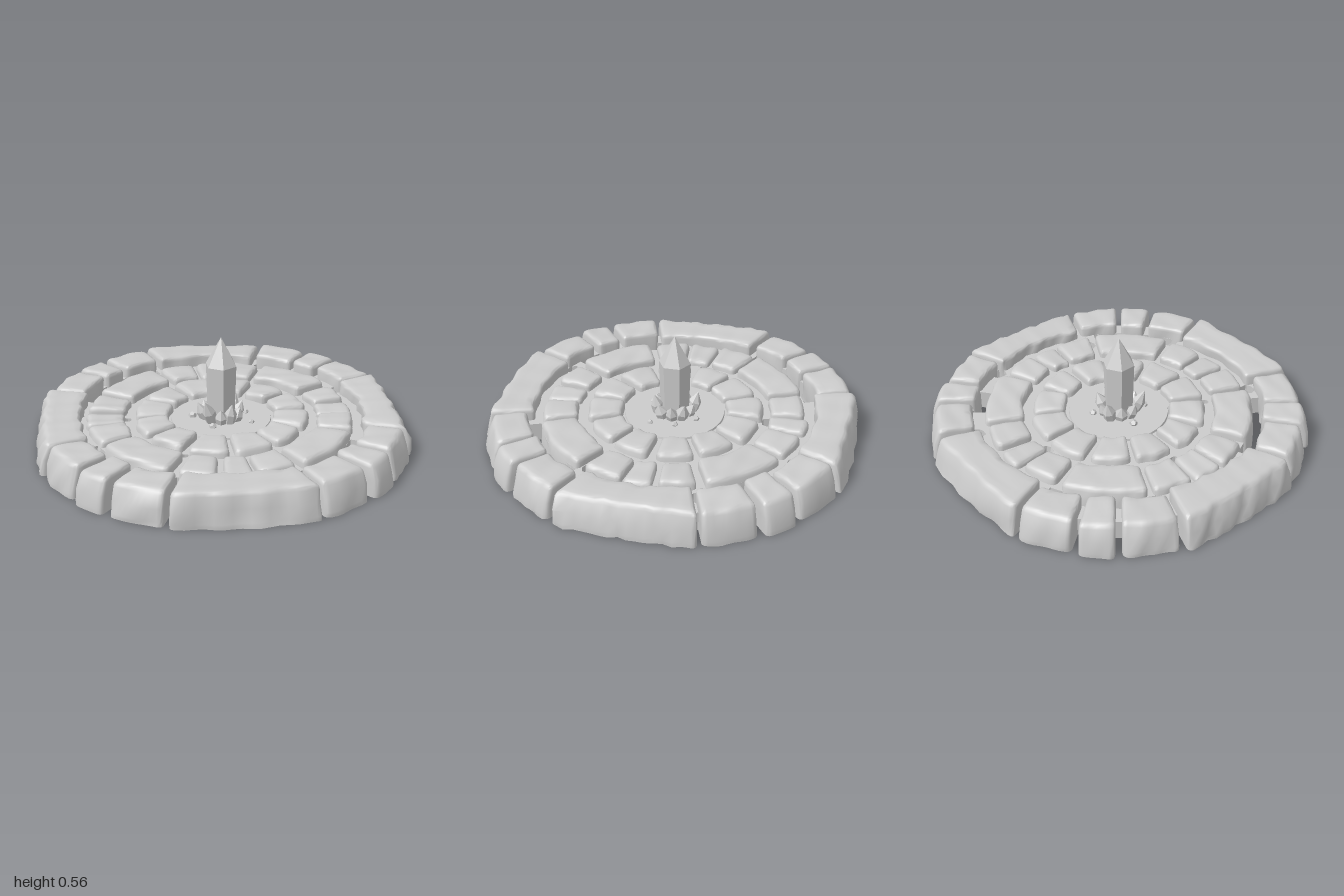
import * as THREE from 'three';
import { toCreasedNormals } from 'three/addons/utils/BufferGeometryUtils.js';

const RAD = Math.PI / 180;
const stoneMat = new THREE.MeshStandardMaterial({ color: 0xcccccc });
const crystalMat = new THREE.MeshStandardMaterial({ color: 0xcccccc, flatShading: true });

// small seeded generator, 0..1
let seed = 7;
function rand() {
  seed = (seed * 16807) % 2147483647;
  return seed / 2147483647;
}
const jitter = (k) => (rand() - 0.5) * 2 * k;

// grid lines along a length: tight in the rounded edges, even between them
function gridLine(i, n, len, b) {
  if (i === 0) return 0;
  if (i === 1) return b * 0.45;
  if (i === n) return len;
  if (i === n - 1) return len - b * 0.45;
  return b + ((i - 2) / (n - 4)) * (len - 2 * b);
}

// worn, round-edged stone filling a ring sector; angles in degrees from +z towards +x
function stone(name, { r0, r1, a0, a1, h, slope = 0.015, chord = 0, rough = 0.006 }) {
  const b = 0.024;
  const mid = ((a0 + a1) / 2) * RAD, half = ((a1 - a0) / 2) * RAD;
  const W = half * (r0 + r1), D = r1 - r0;
  const n = [6 + Math.ceil(W / 0.05), 6, 9];
  const geo = new THREE.BoxGeometry(1, 1, 1, ...n);
  const pos = geo.attributes.position;
  const s = rand() * 20, tiltA = jitter(0.006), tiltR = jitter(0.006);
  const p = new THREE.Vector3(), core = new THREE.Vector3();
  for (let i = 0; i < pos.count; i++) {
    p.fromBufferAttribute(pos, i).addScalar(0.5);
    p.set(
      gridLine(Math.round(p.x * n[0]), n[0], W, b),
      gridLine(Math.round(p.y * n[1]), n[1], h, b),
      gridLine(Math.round(p.z * n[2]), n[2], D, b));
    // round every edge except the flat underside
    core.set(
      THREE.MathUtils.clamp(p.x, b, W - b),
      Math.min(p.y, h - b),
      THREE.MathUtils.clamp(p.z, b, D - b));
    p.sub(core);
    if (p.lengthSq() > 0) p.setLength(b);
    p.add(core);
    // bend into the ring
    const u = (p.x / W) * 2 - 1, v = p.z / D, t = p.y / h;
    const ang = mid + u * half;
    const flat = 1 + chord * v * (Math.cos(half) / Math.cos(u * half) - 1);
    const r = (r0 + p.z) * flat - slope * t * t * v;
    let x = r * Math.sin(ang), z = r * Math.cos(ang), y = p.y;
    // weathering
    const w = Math.sin(23 * x + 9 * y + s) * Math.sin(27 * z - 13 * y + 1.7 * s)
      + 0.5 * Math.sin(51 * x - 37 * z + 31 * y + s);
    const push = rough * w * (2 * v - 1);
    x += push * Math.sin(ang);
    z += push * Math.cos(ang);
    y += t * (w * 0.003 + tiltA * u + tiltR * (v - 0.5));
    pos.setXYZ(i, x, y, z);
  }
  const mesh = new THREE.Mesh(toCreasedNormals(geo, 0.9), stoneMat);
  mesh.name = name;
  return mesh;
}

// mortar bed with open arcs and small gaps
function mortarBed() {
  const shape = new THREE.Shape().absarc(0, 0, 0.86, 0, Math.PI * 2);
  const arcs = [[0.7, 0.77, -21, 17], [0.7, 0.77, 158, 202], [0.69, 0.77, -114, -75], [0.7, 0.77, 83, 97]];
  for (const [r0, r1, a0, a1] of arcs) {
    const pts = [];
    for (let i = 0; i <= 12; i++) {
      const a = (a0 + ((a1 - a0) * i) / 12) * RAD;
      pts.push([r0, a]);
    }
    for (let i = 12; i >= 0; i--) pts.push([r1, (a0 + ((a1 - a0) * i) / 12) * RAD]);
    shape.holes.push(new THREE.Path(pts.map(([r, a]) => new THREE.Vector2(r * Math.sin(a), r * Math.cos(a)))));
  }
  const gaps = [[0.7, -0.27, 0.04], [0.7, 0.275, 0.04], [-0.67, 0.27, 0.04], [0.33, -0.37, 0.035],
    [-0.32, -0.37, 0.022], [-0.45, 0.13, 0.02], [0.235, 0.62, 0.035]];
  for (const [x, z, r] of gaps) {
    const pts = [];
    for (let i = 0; i < 8; i++) {
      const a = i * 45 * RAD, k = r * (1 + jitter(0.2));
      pts.push(new THREE.Vector2(x + k * Math.cos(a), z + k * Math.sin(a)));
    }
    shape.holes.push(new THREE.Path(pts));
  }
  const geo = new THREE.ExtrudeGeometry(shape, { depth: 0.1, bevelEnabled: false, curveSegments: 48 });
  geo.rotateX(Math.PI / 2).translate(0, 0.1, 0);
  const mesh = new THREE.Mesh(geo, stoneMat);
  mesh.name = 'mortarBed';
  return mesh;
}

// six-sided crystal: shaft and pointed tip, standing on its own origin
function crystal(name, r, shaft, tip) {
  const profile = [[0, 0], [r * 0.9, 0], [r, shaft], [r * 0.45, shaft + tip * 0.55], [0, shaft + tip]];
  const geo = new THREE.LatheGeometry(profile.map(([x, y]) => new THREE.Vector2(x, y)), 6);
  const mesh = new THREE.Mesh(geo, crystalMat);
  mesh.name = name;
  return mesh;
}

export function createModel() {
  const model = new THREE.Group();
  model.name = 'stoneCircle';
  model.add(mortarBed());

  // four quarters of the outer and middle rings
  const outer = new THREE.Group(), middle = new THREE.Group(), inner = new THREE.Group();
  outer.name = 'outerRing';
  middle.name = 'middleRing';
  inner.name = 'innerRing';
  for (let q = 0; q < 4; q++) {
    const c = q * 90;
    const rim = { r0: 0.765, r1: 1, h: 0.17, slope: 0.045 };
    outer.add(stone('keyStone', { ...rim, r0: 0.755, a0: c - 5, a1: c + 5, rough: 0.003 }));
    for (const side of [-1, 1]) {
      const a = c + side * 14.8;
      outer.add(stone('rimStone', { ...rim, a0: a - 7.9, a1: a + 7.9, r1: 0.985 }));
    }
    outer.add(stone('cornerStone', { ...rim, r0: 0.735, a0: c + 24.5, a1: c + 66, h: 0.17, chord: 0.75, rough: 0.011 }));

    const mid = { r0: 0.505, r1: 0.71, h: 0.15 };
    middle.add(stone('middleStone', { ...mid, a0: c - 17.5, a1: c + 17.5 }));
    for (const [a0, a1, h] of [[20.5, 37, 0.145], [39, 51, 0.135], [53, 69.5, 0.145]]) {
      middle.add(stone('smallMiddleStone', {
        ...mid, h, a0: c + a0 + jitter(0.8), a1: c + a1 + jitter(0.8), r1: 0.7 + jitter(0.012) }));
    }
  }

  // twelve wedges round the centre
  for (let i = 0; i < 12; i++) {
    inner.add(stone('innerStone', {
      r0: 0.275 + jitter(0.01), r1: 0.465 + jitter(0.008), h: 0.145,
      a0: i * 30 - 13 + jitter(0.8), a1: i * 30 + 13 + jitter(0.8) }));
  }
  model.add(outer, middle, inner);

  // sunken floor under the crystal
  const floor = new THREE.Mesh(new THREE.CylinderGeometry(0.26, 0.29, 0.11, 40), stoneMat);
  floor.name = 'centreFloor';
  floor.position.y = 0.056;
  model.add(floor);

  // main crystal
  const cluster = new THREE.Group();
  cluster.name = 'crystalCluster';
  const main = crystal('mainCrystal', 0.084, 0.305, 0.15);
  main.position.y = 0.1;
  main.rotation.y = 0.3;
  cluster.add(main);

  // leaning shards: direction in degrees, distance, length, radius
  const shards = [[10, 0.075, 0.1, 0.035], [50, 0.07, 0.11, 0.032], [85, 0.07, 0.12, 0.035], [125, 0.07, 0.09, 0.03],
    [157, 0.085, 0.13, 0.035], [195, 0.07, 0.1, 0.035], [230, 0.075, 0.12, 0.03], [272, 0.07, 0.16, 0.035],
    [308, 0.075, 0.1, 0.032], [340, 0.08, 0.13, 0.032]];
  for (const [deg, dist, len, r] of shards) {
    const shard = crystal('shard', r, len * 0.55, len * 0.45);
    const a = deg * RAD;
    shard.position.set(dist * Math.sin(a), 0.095, dist * Math.cos(a));
    shard.rotation.set(0.32 + jitter(0.12), a, 0, 'YXZ');
    cluster.add(shard);
  }

  // loose chips on the floor
  for (const [x, z, r] of [[0.04, 0.17, 0.015], [-0.13, 0.05, 0.02], [0.13, -0.05, 0.02], [-0.09, -0.12, 0.022], [0.12, 0.07, 0.017]]) {
    const chip = new THREE.Mesh(new THREE.DodecahedronGeometry(r), crystalMat);
    chip.name = 'chip';
    chip.position.set(x, 0.115, z);
    chip.rotation.set(x * 9, z * 7, 1);
    cluster.add(chip);
  }
  model.add(cluster);
  return model;
}
